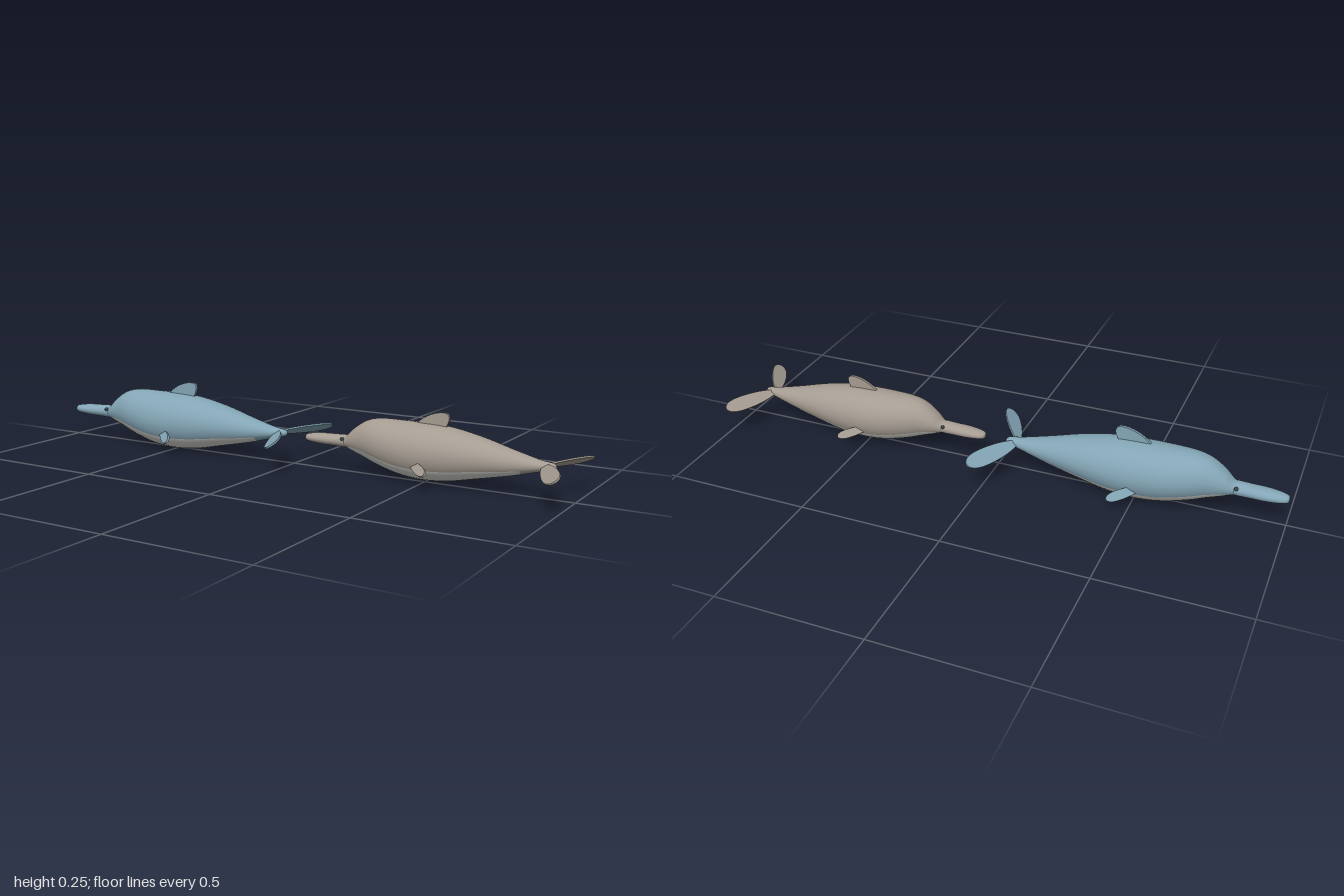
import * as THREE from 'three';

const flat = (name, color) => {
  const m = new THREE.MeshStandardMaterial({ color });
  m.name = name;
  return m;
};
const blue = flat('blue skin', 0x83a5b5);
const taupe = flat('taupe skin', 0xa59c92);
const pale = flat('pale belly', 0xd4d4cf);
const dark = flat('dark eye', 0x3c4448);

// Smooth loft along x through sections [x, top, bottom, halfWidth];
// the belly strip between two x limits goes into a second material group.
function loft(sections, steps, bellyFrom = 1, bellyTo = 1) {
  const around = 36;
  const heights = new THREE.CatmullRomCurve3(sections.map(([x, t, b]) => new THREE.Vector3(x, t, b)), false, 'centripetal');
  const widths = new THREE.CatmullRomCurve3(sections.map(([x, t, b, w]) => new THREE.Vector3(x, w, 0)), false, 'centripetal');
  const pos = [], skin = [], belly = [];
  for (let i = 0; i <= steps; i++) {
    const h = heights.getPoint(i / steps), w = widths.getPoint(i / steps).y;
    for (let j = 0; j < around; j++) {
      const a = (j / around) * Math.PI * 2;
      pos.push(h.x, (h.y + h.z) / 2 + Math.sin(a) * (h.y - h.z) / 2, Math.cos(a) * w);
    }
  }
  for (let i = 0; i < steps; i++) {
    const x = (pos[i * around * 3] + pos[(i + 1) * around * 3]) / 2;
    for (let j = 0; j < around; j++) {
      const a = i * around + j, b = i * around + (j + 1) % around;
      const low = j >= 21 && j < 33 && x > bellyFrom && x < bellyTo;
      (low ? belly : skin).push(a, a + around, b, b, a + around, b + around);
    }
  }
  const geo = new THREE.BufferGeometry();
  geo.setAttribute('position', new THREE.Float32BufferAttribute(pos, 3));
  geo.setIndex([...skin, ...belly]);
  geo.addGroup(0, skin.length, 0);
  geo.addGroup(skin.length, belly.length, 1);
  geo.computeVertexNormals();
  return geo;
}

function plate(shape, thickness) {
  const geo = new THREE.ExtrudeGeometry(shape, { depth: thickness, bevelEnabled: false, curveSegments: 12 });
  return geo.translate(0, 0, -thickness / 2);
}

// Leaf-shaped fin from root to tip, its rear edge rolled upward
function leafFin(root, tip, width, roll, thickness) {
  const along = tip.clone().sub(root), len = along.length();
  along.normalize();
  const h = width / 2;
  const shape = new THREE.Shape();
  shape.moveTo(0, -h * 0.25);
  shape.bezierCurveTo(len * 0.25, -h * 0.9, len * 0.5, -h, len * 0.68, -h);
  shape.bezierCurveTo(len * 0.88, -h, len, -h * 0.6, len, 0);
  shape.bezierCurveTo(len, h * 0.6, len * 0.88, h, len * 0.68, h);
  shape.bezierCurveTo(len * 0.5, h, len * 0.25, h * 0.9, 0, h * 0.25);
  const rear = new THREE.Vector3(Math.abs(along.z), 0, -Math.sign(along.z) * along.x).normalize();
  const across = rear.multiplyScalar(Math.cos(roll)).add(new THREE.Vector3(0, Math.sin(roll), 0));
  across.addScaledVector(along, -across.dot(along)).normalize();
  const normal = along.clone().cross(across);
  const m = new THREE.Matrix4().makeBasis(along, across, normal).setPosition(root);
  return plate(shape, thickness).applyMatrix4(m);
}

function createDolphin(name, skin) {
  const g = new THREE.Group();
  g.name = name;
  const add = (part, geo, mat) => {
    const mesh = new THREE.Mesh(geo, mat);
    mesh.name = part;
    g.add(mesh);
    return mesh;
  };

  // Body with pale underside
  add('body', loft([
    [-0.845, 0.112, 0.102, 0.004], [-0.84, 0.126, 0.088, 0.02], [-0.82, 0.134, 0.083, 0.03],
    [-0.79, 0.162, 0.073, 0.045], [-0.74, 0.195, 0.056, 0.063], [-0.69, 0.207, 0.038, 0.079],
    [-0.6, 0.209, 0.014, 0.096], [-0.52, 0.208, 0.005, 0.101], [-0.42, 0.203, 0.01, 0.098],
    [-0.3, 0.181, 0.034, 0.079], [-0.18, 0.149, 0.06, 0.05], [-0.08, 0.125, 0.086, 0.025],
    [-0.035, 0.118, 0.098, 0.011], [-0.027, 0.109, 0.107, 0.001],
  ], 78, -0.8, -0.15), [skin, pale]);

  // Beak
  add('beak', loft([
    [-1, 0.107, 0.105, 0.001], [-0.997, 0.116, 0.094, 0.013], [-0.98, 0.121, 0.09, 0.023],
    [-0.93, 0.127, 0.086, 0.031], [-0.88, 0.129, 0.085, 0.03], [-0.82, 0.13, 0.085, 0.027],
    [-0.8, 0.12, 0.09, 0.01],
  ], 30), [skin, pale]);

  // Dorsal fin
  const fin = new THREE.Shape();
  fin.moveTo(-0.55, 0.198);
  fin.lineTo(-0.43, 0.19);
  fin.bezierCurveTo(-0.425, 0.215, -0.413, 0.225, -0.418, 0.24);
  fin.bezierCurveTo(-0.422, 0.256, -0.45, 0.254, -0.475, 0.246);
  fin.bezierCurveTo(-0.51, 0.234, -0.525, 0.22, -0.55, 0.198);
  add('dorsalFin', plate(fin, 0.01), skin);

  // Mirrored flippers, flukes and eyes
  for (const s of [1, -1]) {
    const side = s > 0 ? 'Left' : 'Right';
    add('flipper' + side, leafFin(new THREE.Vector3(-0.535, 0.076, s * 0.065),
      new THREE.Vector3(-0.438, 0.059, s * 0.155), 0.034, 0.9, 0.008), skin);
    add('fluke' + side, leafFin(new THREE.Vector3(-0.07, 0.108, s * 0.004),
      new THREE.Vector3(0.034, 0.107, s * 0.203), 0.062, 0.58, 0.006), skin);
    const eye = add('eye' + side, new THREE.SphereGeometry(0.007, 12, 8), dark);
    eye.position.set(-0.832, 0.119, s * 0.026);
  }
  return g;
}

export function createModel() {
  const model = new THREE.Group();
  model.name = 'dolphinPair';
  model.add(createDolphin('largeDolphin', blue));
  // Smaller companion swimming behind
  const small = createDolphin('smallDolphin', taupe);
  small.scale.setScalar(0.912);
  small.position.set(0.962, 0.0095, 0);
  model.add(small);
  return model;
}
